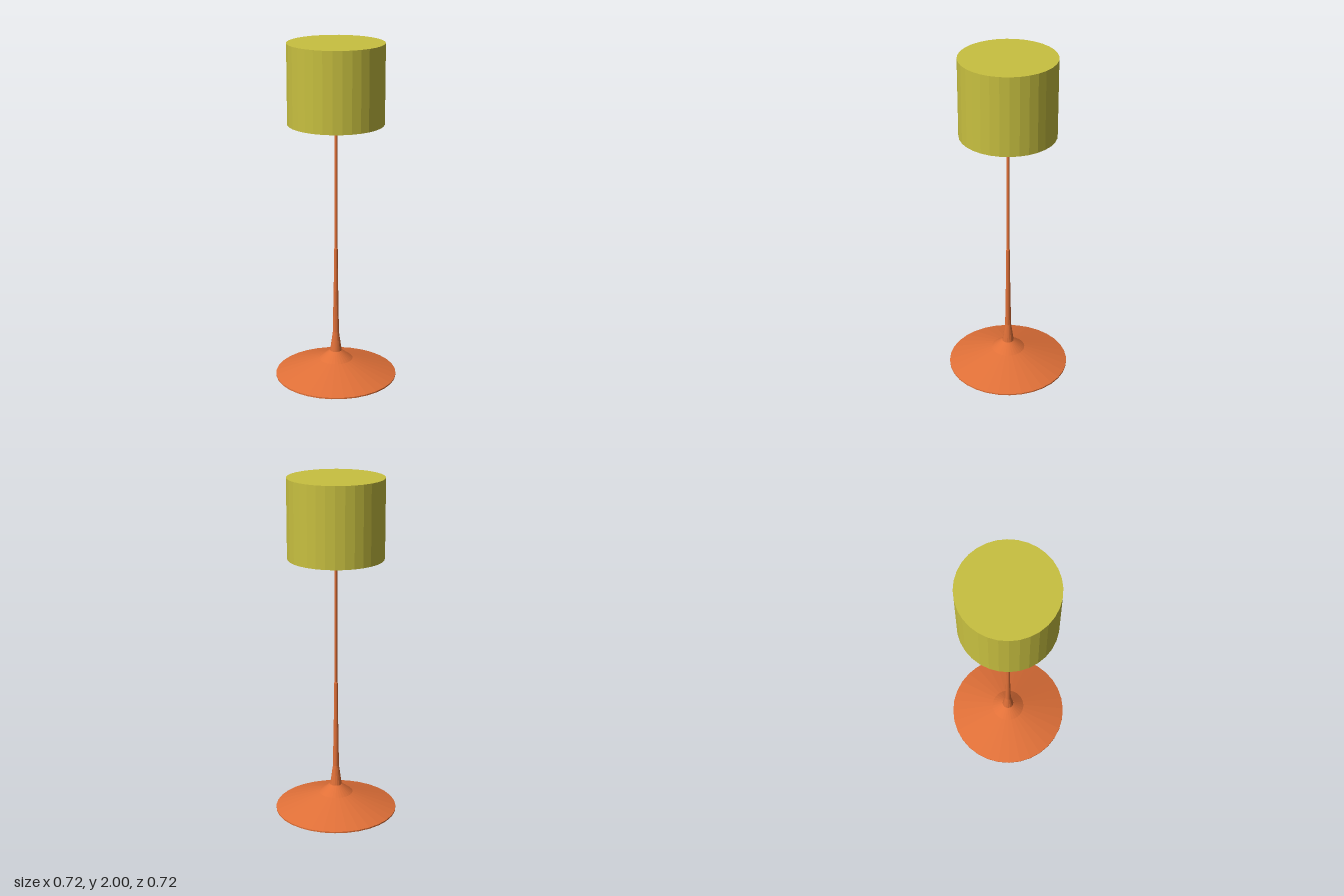
import * as THREE from 'three';

const orange = new THREE.MeshStandardMaterial({ color: 0xe07038, flatShading: true });
const yellow = new THREE.MeshStandardMaterial({ color: 0xc8c040, flatShading: true });

// Turned part from [radius, height] pairs, listed bottom to top along the outside
function turned(name, profile, sides, material) {
  const points = profile.map(([r, y]) => new THREE.Vector2(r, y));
  const mesh = new THREE.Mesh(new THREE.LatheGeometry(points, sides), material);
  mesh.name = name;
  return mesh;
}

export function createModel() {
  const lamp = new THREE.Group();
  lamp.name = 'floorLamp';

  // Wide conical foot with a closed underside
  lamp.add(turned('base', [
    [0, 0], [0.36, 0], [0.36, 0.008], [0.1, 0.1], [0.035, 0.15], [0, 0.15],
  ], 32, orange));

  // Slender pole, tapering in stages
  lamp.add(turned('pole', [
    [0.035, 0.15], [0.018, 0.27], [0.016, 0.42], [0.0125, 0.6],
    [0.011, 0.79], [0.008, 0.8], [0.008, 1.63],
  ], 16, orange));

  // Socket at the head of the pole
  lamp.add(turned('socket', [
    [0, 1.62], [0.016, 1.62], [0.016, 1.7], [0, 1.7],
  ], 16, orange));

  // Thick-walled drum shade, open below and closed on top
  lamp.add(turned('shade', [
    [0, 1.975], [0.25, 1.975], [0.25, 1.54], [0.277, 1.54], [0.277, 2], [0, 2],
  ], 32, yellow));

  // Thin bar carrying the shade across the pole
  const bar = new THREE.Mesh(new THREE.CylinderGeometry(0.004, 0.004, 0.505, 8), orange);
  bar.name = 'shadeBar';
  bar.rotation.z = Math.PI / 2;
  bar.position.y = 1.61;
  lamp.add(bar);

  return lamp;
}
